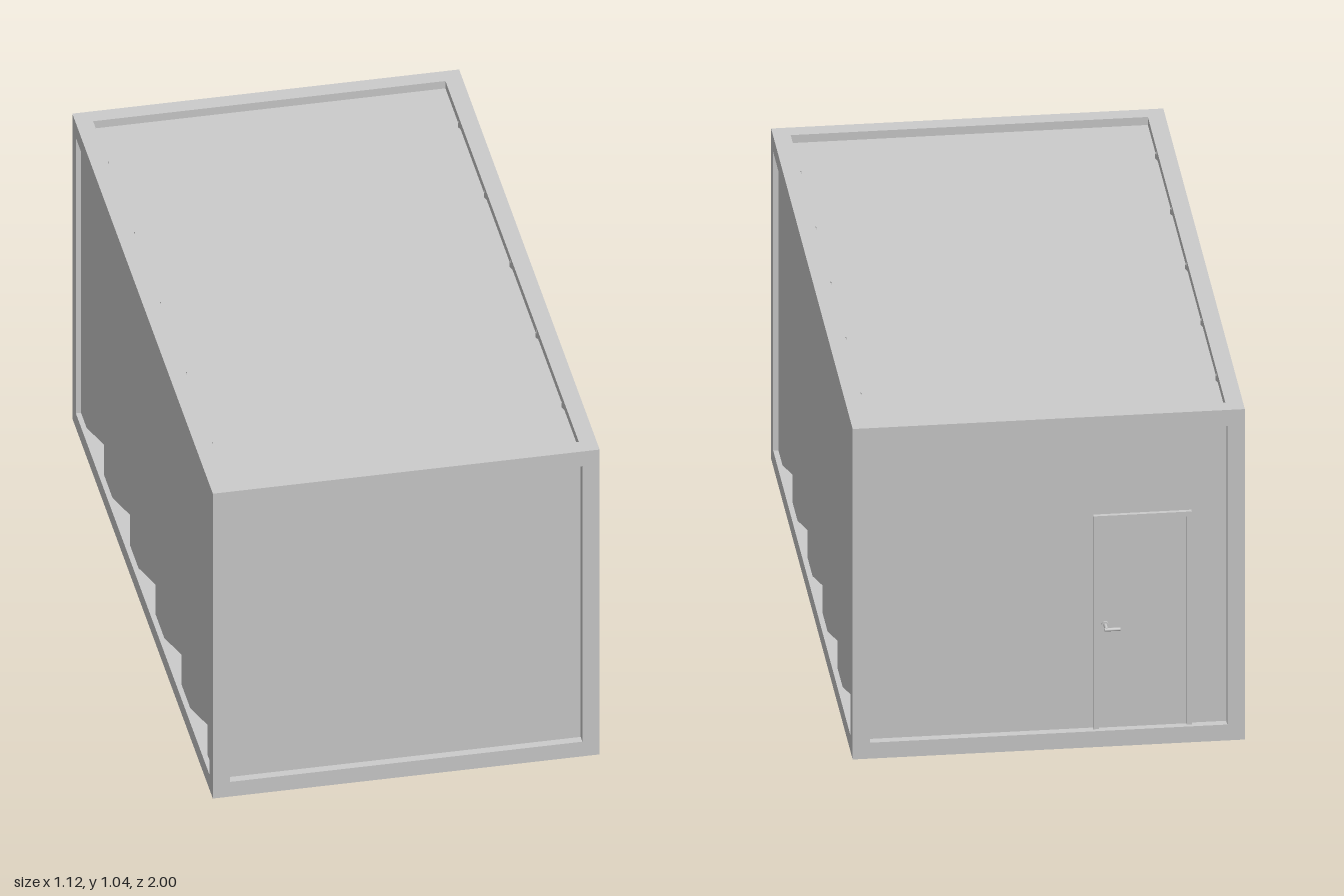
import * as THREE from 'three';

const W = 1.12, H = 1.04, Z0 = -0.98, Z1 = 1.0; // outer size of the frame
const B = 0.05;                                 // beam thickness
const RECESS = 0.025;                           // how far panels sit inside the frame
const ZC = (Z0 + Z1) / 2, L = Z1 - Z0;

const grey = new THREE.MeshStandardMaterial({ color: 0xcccccc });
const sheetMat = new THREE.MeshStandardMaterial({ color: 0xcccccc, flatShading: true, side: THREE.DoubleSide });

function box(parent, name, sx, sy, sz, x, y, z) {
  const mesh = new THREE.Mesh(new THREE.BoxGeometry(sx, sy, sz), grey);
  mesh.position.set(x, y, z);
  mesh.name = name;
  parent.add(mesh);
  return mesh;
}

// Trapezoid wave: flat ridge, slope in to a valley, slope back out
function corrugatedWall(side) {
  const outer = 0.545, inner = 0.505, pitch = 0.365, slope = pitch / 3;
  const zs = [Z1 - 0.03];
  for (let i = 2; i >= -2; i--) zs.push(i * pitch + slope, i * pitch, i * pitch - slope);
  zs.push(Z0 + 0.03);
  const geo = new THREE.PlaneGeometry(1, H - 0.02, zs.length - 1, 1);
  const pos = geo.attributes.position;
  for (let i = 0; i < pos.count; i++) {
    const k = i % zs.length;
    const valley = k % 3 === 2 && k < zs.length - 1;
    pos.setXYZ(i, valley ? inner : outer, pos.getY(i) + H / 2, zs[k]);
  }
  geo.computeVertexNormals();
  if (side < 0) geo.rotateY(Math.PI); // the wave is symmetric about z = 0
  if (side < 0) geo.translate(0, 0, 0.02 - 0.02);
  const mesh = new THREE.Mesh(geo, sheetMat);
  mesh.name = side > 0 ? 'leftCorrugatedWall' : 'rightCorrugatedWall';
  return mesh;
}

export function createModel() {
  const model = new THREE.Group();
  model.name = 'containerCabin';

  // Frame: four posts, four long beams, four cross beams
  const frame = new THREE.Group();
  frame.name = 'frame';
  model.add(frame);
  for (const s of [-1, 1]) {
    const x = s * (W - B) / 2;
    for (const z of [Z0 + B / 2, Z1 - B / 2]) box(frame, 'cornerPost', B, H, B, x, H / 2, z);
    const y = s < 0 ? B / 2 : H - B / 2;
    for (const sx of [-1, 1]) box(frame, 'longBeam', B, B, L - 2 * B, sx * (W - B) / 2, y, ZC);
    for (const z of [Z0 + B / 2, Z1 - B / 2]) box(frame, 'crossBeam', W - 2 * B, B, B, 0, y, z);
  }

  // Flat panels, set back inside the frame
  const t = 0.02, iw = W - 2 * B, il = L - 2 * B, ih = H - 2 * B;
  box(model, 'roofPanel', iw, t, il, 0, H - RECESS - t / 2, ZC);
  box(model, 'floorPanel', iw, t, il, 0, RECESS + t / 2, ZC);
  box(model, 'frontPanel', iw, ih, t, 0, H / 2, Z1 - RECESS - t / 2);
  box(model, 'backPanel', iw, ih, t, 0, H / 2, Z0 + RECESS + t / 2);

  // Corrugated side walls
  model.add(corrugatedWall(1), corrugatedWall(-1));

  // Door with a slim raised casing on the back panel
  const door = new THREE.Group();
  door.name = 'door';
  model.add(door);
  const face = Z0 + RECESS, dl = -0.13, dr = -0.41, top = 0.72, c = 0.015, d = 0.012;
  for (const x of [dl - c / 2, dr + c / 2]) {
    box(door, 'doorCasingSide', c, top - B, d, x, (top + B) / 2, face - d / 2);
  }
  box(door, 'doorCasingTop', dl - dr - 2 * c, c, d, (dl + dr) / 2, top - c / 2, face - d / 2);
  box(door, 'doorLeaf', dl - dr - 2 * c, top - B - c, 0.003, (dl + dr) / 2, (top - c + B) / 2, face - 0.0015);

  // Lever handle: stem out of the door and a lever toward the hinges
  const r = 0.005, hy = 0.375;
  const stem = new THREE.Mesh(new THREE.CylinderGeometry(r, r, 0.043, 12).rotateX(Math.PI / 2), grey);
  stem.position.set(-0.163, hy, face - 0.0215);
  stem.name = 'handleStem';
  const lever = new THREE.Mesh(new THREE.CylinderGeometry(r, r, 0.045, 12).rotateZ(Math.PI / 2), grey);
  lever.position.set(-0.1805, hy, -1 + r);
  lever.name = 'handleLever';
  const rose = new THREE.Mesh(new THREE.CylinderGeometry(0.01, 0.01, 0.008, 16).rotateX(Math.PI / 2), grey);
  rose.position.set(-0.163, hy, face - 0.004);
  rose.name = 'handleRose';
  door.add(stem, lever, rose);

  return model;
}
